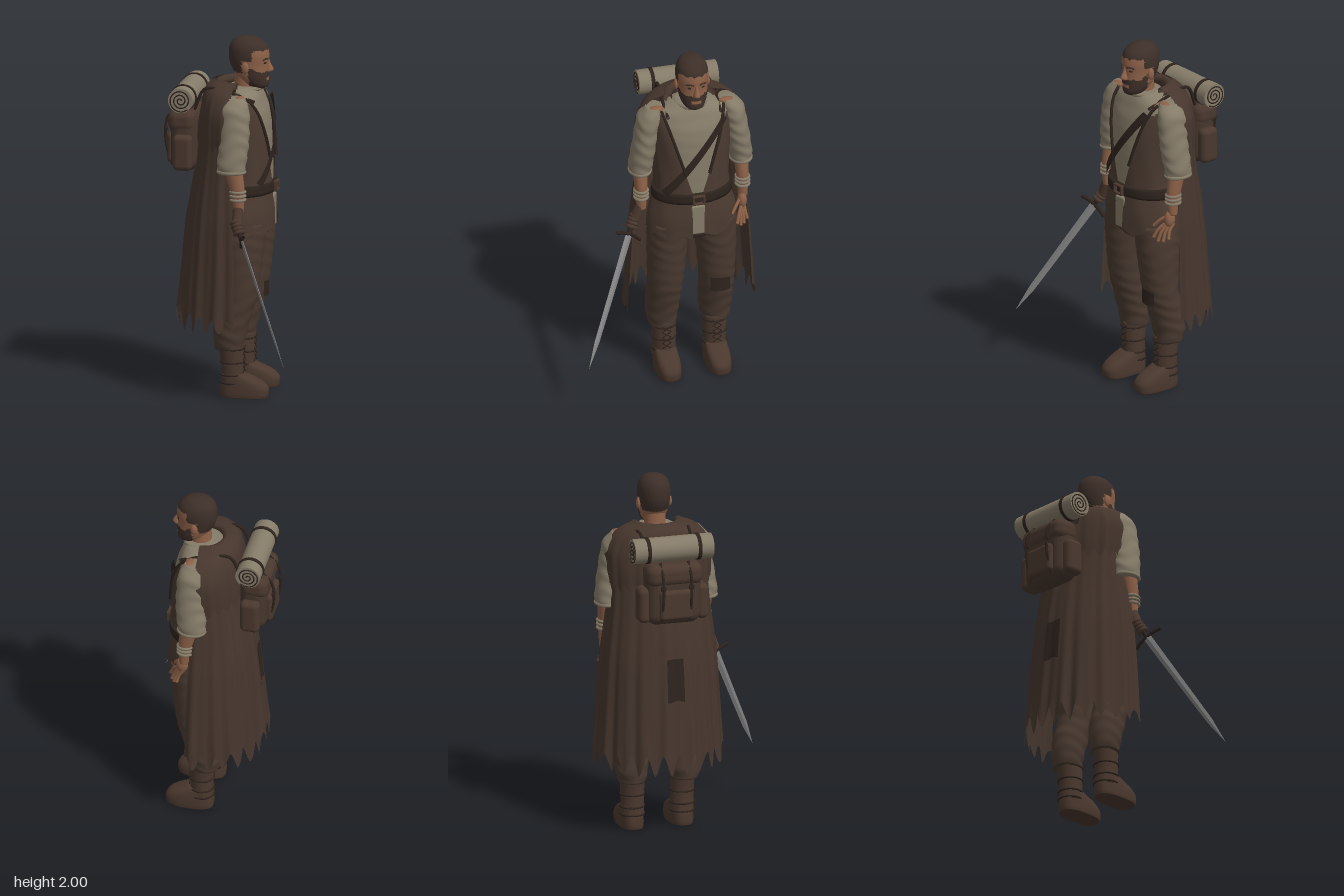
import * as THREE from 'three';
import { RoundedBoxGeometry } from 'three/addons/geometries/RoundedBoxGeometry.js';

const mat = (name, color, extra = {}) => Object.assign(new THREE.MeshStandardMaterial({ color, ...extra }), { name });
const V = (x, y, z) => new THREE.Vector3(x, y, z);
const { sin, cos, abs, sign, sqrt, asin, max, PI } = Math;

export function createModel() {
  const cloth = mat('cloak brown', 0x46362d, { side: THREE.DoubleSide });
  const vestMat = mat('vest brown', 0x4a3a30, { side: THREE.DoubleSide });
  const pants = mat('trouser brown', 0x4a3a30);
  const boot = mat('boot leather', 0x4a382e);
  const dark = mat('dark leather', 0x2e231d, { side: THREE.DoubleSide });
  const linen = mat('linen', 0x857b68, { side: THREE.DoubleSide });
  const skin = mat('skin', 0x8d6148);
  const hair = mat('hair', 0x3d2f28);
  const steel = mat('steel', 0x858585, { flatShading: true });

  const body = new THREE.Group();
  const add = (name, geo, m, parent = body) => {
    const mesh = new THREE.Mesh(geo, m);
    mesh.name = name;
    parent.add(mesh);
    return mesh;
  };

  // Smooth cross-section between sections [cx, y, cz, rx, rz]
  const sampler = (sections) => {
    const s = sections[0][1] > sections.at(-1)[1] ? [...sections].reverse() : sections;
    const c = new THREE.CatmullRomCurve3(s.map(p => V(p[0], p[1], p[2])), false, 'catmullrom');
    const r = new THREE.CatmullRomCurve3(s.map(p => V(p[3], p[4], 0)), false, 'catmullrom');
    return t => ({ c: c.getPoint(t), r: r.getPoint(t) });
  };
  // Closed, capped loft of elliptical rings; pick(x, y, z) chooses a material per face
  const loft = (sections, { n = 28, rows = 24, e = 1, wrinkle = 0, pick = null } = {}) => {
    const at = sampler(sections), pos = [], faces = [[], [], []];
    for (let k = 0; k <= rows; k++) {
      const { c, r } = at(k / rows);
      for (let j = 0; j < n; j++) {
        const a = j / n * 2 * PI, s = sin(a), q = cos(a);
        const w = 1 + wrinkle * sin(c.y * 75 + 2 * sin(a * 2 + c.y * 9));
        pos.push(c.x + r.x * w * sign(s) * abs(s) ** e, c.y, c.z + r.y * w * sign(q) * abs(q) ** e);
      }
    }
    const b = at(0).c, t = at(1).c, base = (rows + 1) * n;
    pos.push(b.x, b.y, b.z, t.x, t.y, t.z);
    const tri = (...f) => {
      const m = [0, 1, 2].map(d => f.reduce((sum, i) => sum + pos[i * 3 + d] / 3, 0));
      faces[pick ? pick(...m) : 0].push(...f);
    };
    for (let j = 0; j < n; j++) {
      const j1 = (j + 1) % n;
      for (let k = 0; k < rows; k++) {
        const a = k * n + j, c = k * n + j1;
        tri(a, c, a + n); tri(c, c + n, a + n);
      }
      tri(base, j1, j); tri(base + 1, rows * n + j, rows * n + j1);
    }
    const g = new THREE.BufferGeometry();
    g.setAttribute('position', new THREE.Float32BufferAttribute(pos, 3));
    g.setIndex(faces.flat());
    if (pick) faces.reduce((start, f, i) => (g.addGroup(start, f.length, i), start + f.length), 0);
    g.computeVertexNormals();
    return g;
  };
  // Open sheet from a rule f(u, v) -> [x, y, z]
  const sheet = (nu, nv, f) => {
    const g = new THREE.PlaneGeometry(1, 1, nu, nv), p = g.attributes.position, uv = g.attributes.uv;
    for (let i = 0; i < p.count; i++) p.setXYZ(i, ...f(uv.getX(i), uv.getY(i)));
    g.computeVertexNormals();
    return g;
  };
  const bar = (a, b, r1, r2, seg = 10) => {
    const d = b.clone().sub(a), g = new THREE.CylinderGeometry(r2, r1, d.length(), seg);
    g.applyQuaternion(new THREE.Quaternion().setFromUnitVectors(V(0, 1, 0), d.clone().normalize()));
    return g.translate(...a.clone().add(b).multiplyScalar(0.5).toArray());
  };
  const ball = (x, y, z, rx, ry, rz) => new THREE.SphereGeometry(1, 18, 12).scale(rx, ry, rz).translate(x, y, z);
  const box = (x, y, z, w, h, d, r = 0.03) => new RoundedBoxGeometry(w, h, d, 3, r).translate(x, y, z);
  const tube = (pts, r) => new THREE.TubeGeometry(new THREE.CatmullRomCurve3(pts), pts.length * 5, r, 6);
  const hoop = (x, y, z, rx, rz, t) => new THREE.TorusGeometry(1, t / rx, 8, 28).rotateX(PI / 2).scale(rx, rx, rz).translate(x, y, z);

  // Head: hair, beard and skin as face groups
  const coat = (x, y, z) => {
    const ragged = 0.005 * sin(x * 160) + 0.004 * sin(y * 190);
    if (y > 1.925 + ragged || (y > 1.8 && z < 0.035 + ragged) || (y > 1.87 && z < 0.095 + ragged)) return 1;
    const lips = abs(x) < 0.027 && abs(y - 1.765) < 0.008;
    return z > 0.07 + ragged && y < 1.81 + max(0, 0.12 - z) * 0.5 + ragged && !lips ? 1 : 0;
  };
  add('head', loft([[0, 1.708, 0.12, 0.02, 0.025], [0, 1.725, 0.105, 0.055, 0.06], [0, 1.77, 0.08, 0.076, 0.087],
    [0, 1.84, 0.06, 0.085, 0.106], [0, 1.9, 0.057, 0.09, 0.112], [0, 1.95, 0.055, 0.082, 0.102],
    [0, 1.985, 0.05, 0.055, 0.068], [0, 2, 0.05, 0.012, 0.015]], { n: 64, rows: 64, pick: coat }), [skin, hair, hair]);
  add('neck', loft([[0, 1.62, 0.03, 0.085, 0.08], [0, 1.7, 0.035, 0.062, 0.062], [0, 1.8, 0.045, 0.06, 0.065]]), skin);
  add('nose', loft([[0, 1.805, 0.165, 0.021, 0.022], [0, 1.818, 0.169, 0.019, 0.027], [0, 1.85, 0.163, 0.01, 0.016],
    [0, 1.885, 0.157, 0.008, 0.01]], { n: 14, rows: 10 }), skin);
  for (const s of [-1, 1]) {
    add('ear', ball(s * 0.09, 1.835, 0.055, 0.012, 0.032, 0.02), skin);
    add('eye', ball(s * 0.034, 1.858, 0.15, 0.014, 0.007, 0.012), dark);
    add('eyebrow', tube([V(s * 0.015, 1.876, 0.167), V(s * 0.035, 1.882, 0.161), V(s * 0.056, 1.874, 0.144)], 0.005), hair);
  }

  // Shirt and trousers
  const torso = [[0, 1.0, 0.045, 0.215, 0.14], [0, 1.2, 0.045, 0.2, 0.14], [0, 1.4, 0.035, 0.2, 0.146],
    [0, 1.55, 0.03, 0.21, 0.14], [0, 1.65, 0.025, 0.21, 0.115], [0, 1.7, 0.025, 0.14, 0.095], [0, 1.725, 0.03, 0.08, 0.075]];
  add('shirt', loft(torso, { n: 40, rows: 40, e: 0.9, wrinkle: 0.006 }), linen);
  add('shirtCollar', hoop(0, 1.71, 0.035, 0.085, 0.085, 0.014), linen);
  add('hips', loft([[0, 0.88, 0.045, 0.12, 0.1], [0, 0.95, 0.045, 0.225, 0.14], [0, 1.15, 0.045, 0.21, 0.14]]), pants);
  add('shirtTail', box(0, 1.03, 0.19, 0.08, 0.18, 0.03, 0.01), linen);

  // Open vest with a ragged skirt
  const vestAt = sampler([[0, 0.93, 0.045, 0.255, 0.168], [0, 1.04, 0.045, 0.245, 0.165], [0, 1.17, 0.045, 0.215, 0.15],
    [0, 1.32, 0.04, 0.212, 0.153], [0, 1.5, 0.03, 0.222, 0.155], [0, 1.62, 0.025, 0.222, 0.135], [0, 1.69, 0.02, 0.19, 0.1]]);
  const gapAt = y => y > 1.2 ? 0.03 + (y - 1.2) * 0.3 : 0.033;
  const vestPoint = (u, v) => {
    const { c, r } = vestAt(v), a0 = asin(gapAt(c.y) / r.x), a = a0 + u * (2 * PI - 2 * a0);
    const drop = v < 0.05 ? 0.012 * sin(a * 11) : 0, fold = 1 + 0.008 * sin(a * 9 + c.y * 14);
    return [r.x * fold * sin(a), c.y + drop, c.z + r.y * fold * cos(a)];
  };
  add('vest', sheet(80, 40, vestPoint), vestMat);
  for (const u of [0, 1]) {
    const edge = [0.5, 0.6, 0.7, 0.8, 0.9, 0.98].map(v => V(...vestPoint(u, v)).add(V(0, 0, 0.008)));
    add('lapel', tube(edge, 0.009), dark);
  }
  add('belt', loft([[0, 1.135, 0.045, 0.226, 0.16], [0, 1.165, 0.045, 0.226, 0.161], [0, 1.195, 0.045, 0.222, 0.16]], { n: 48, rows: 4 }), dark);
  for (const s of [-1, 1]) {
    add('buckle', box(s * 0.03, 1.165, 0.212, 0.012, 0.056, 0.022, 0.004), boot);
    add('buckle', box(0, 1.165 + s * 0.023, 0.212, 0.07, 0.011, 0.022, 0.004), boot);
  }
  add('chestStrap', sheet(2, 24, (u, v) => {
    const x = 0.165 - 0.345 * v + (u - 0.5) * 0.03, y = 1.64 - 0.44 * v + (u - 0.5) * -0.03;
    return [x, y, 0.045 - 0.02 * (1 - v) + 0.158 * sqrt(max(0, 1 - (x / 0.235) ** 2)) + 0.008];
  }), dark);

  // Legs, boots, arms
  for (const s of [-1, 1]) {
    const mir = a => a.map(([x, ...rest]) => [s * x, ...rest]);
    add('trouserLeg', loft(mir([[0.15, 0.27, -0.02, 0.075, 0.08], [0.15, 0.34, -0.02, 0.09, 0.09], [0.148, 0.45, 0.0, 0.096, 0.1],
      [0.145, 0.58, 0.035, 0.1, 0.1], [0.138, 0.8, 0.045, 0.112, 0.12], [0.125, 0.98, 0.045, 0.12, 0.135]]), { rows: 44, wrinkle: 0.022 }), pants);
    add('bootShaft', loft(mir([[0.142, 0.07, -0.005, 0.064, 0.064], [0.142, 0.18, -0.003, 0.065, 0.065], [0.145, 0.3, -0.01, 0.07, 0.072]])), boot);
    add('bootFoot', loft(mir([[0.142, 0, 0.062, 0.066, 0.13], [0.142, 0.02, 0.063, 0.069, 0.134], [0.142, 0.055, 0.062, 0.069, 0.133],
      [0.142, 0.09, 0.045, 0.066, 0.113], [0.142, 0.13, 0.0, 0.06, 0.065]]), { e: 0.75 }), boot);
    for (const y of [0.08, 0.125, 0.195, 0.27]) add('bootStrap', hoop(s * 0.143, y, -0.004, 0.067, 0.067, 0.005), dark);
    for (let i = 0; i < 4; i++) for (const d of [-1, 1]) {
      const y = 0.14 + i * 0.035;
      add('bootLace', bar(V(s * 0.143 - d * 0.025, y, 0.061), V(s * 0.143 + d * 0.025, y + 0.035, 0.063), 0.003, 0.003, 6), dark);
    }
    add('sleeve', loft(mir([[0.285, 1.285, 0.02, 0.058, 0.072], [0.282, 1.33, 0.02, 0.066, 0.08], [0.265, 1.45, 0.03, 0.067, 0.083],
      [0.25, 1.55, 0.03, 0.066, 0.083], [0.232, 1.64, 0.025, 0.066, 0.082], [0.205, 1.695, 0.02, 0.045, 0.055]]), { rows: 44, wrinkle: 0.03 }), linen);
    add('cuff', hoop(s * 0.285, 1.295, 0.02, 0.056, 0.07, 0.011), linen);
    add('tornShoulder', ball(s * 0.2, 1.688, 0.05, 0.042, 0.014, 0.026), skin);
    add('forearm', loft(mir([[0.287, 1.07, 0.062, 0.027, 0.026], [0.287, 1.12, 0.06, 0.029, 0.032], [0.287, 1.2, 0.052, 0.035, 0.042],
      [0.285, 1.31, 0.03, 0.043, 0.05]])), skin);
    for (const y of [1.14, 1.162, 1.184]) add('bracelet', hoop(s * 0.287, y, 0.056, 0.036, 0.04, 0.008), linen);
  }
  add('kneePatch', sheet(6, 4, (u, v) => {
    const a = (u - 0.5) * 1.1;
    return [0.145 + 0.104 * sin(a), 0.51 + 0.09 * v, 0.03 + 0.106 * cos(a)];
  }), dark);

  // Open left hand
  add('leftPalm', ball(0.28, 1.045, 0.075, 0.026, 0.05, 0.033), skin);
  [[0.235, 0.945, 0.15], [0.258, 0.925, 0.138], [0.28, 0.925, 0.12], [0.302, 0.94, 0.1], [0.212, 1.0, 0.13]].forEach((tip, i) => {
    const root = i < 4 ? V(0.268 + i * 0.009, 1.02, 0.1 - i * 0.014) : V(0.272, 1.065, 0.075);
    add(i < 4 ? 'finger' : 'thumb', tube([root, root.clone().lerp(V(...tip), 0.5).add(V(-0.004, 0, 0.008)), V(...tip)], 0.0095), skin);
    add('fingertip', ball(...tip, 0.0095, 0.0095, 0.0095), skin);
  });

  // Sword, with the wrapped right hand around its grip
  const sword = new THREE.Group();
  sword.name = 'sword';
  const hilt = V(-0.365, 0.93, 0.095), up = hilt.clone().sub(V(-0.67, 0.29, 0.4));
  const len = up.length();
  up.normalize();
  const across = V(-0.155, 0.08, 0.05).addScaledVector(up, -up.dot(V(-0.155, 0.08, 0.05))).normalize();
  sword.matrixAutoUpdate = false;
  sword.matrix.makeBasis(across, up, across.clone().cross(up)).setPosition(hilt);
  body.add(sword);
  add('blade', new THREE.CylinderGeometry(0.023, 0.017, len * 0.8, 4).scale(1, 1, 0.32).translate(0, -len * 0.4, 0), steel, sword);
  add('bladeTip', new THREE.CylinderGeometry(0.017, 0.0005, len * 0.2, 4).scale(1, 1, 0.32).translate(0, -len * 0.9, 0), steel, sword);
  add('guard', tube([V(-0.088, -0.012, 0), V(-0.04, 0, 0), V(0.04, 0, 0), V(0.088, -0.012, 0)], 0.01), dark, sword);
  add('grip', new THREE.CylinderGeometry(0.012, 0.013, 0.17, 12).translate(0, 0.085, 0), dark, sword);
  add('pommel', ball(0, 0.175, 0, 0.018, 0.014, 0.018), dark, sword);
  for (let i = 0; i < 4; i++) add('gripFinger', hoop(0, 0.045 + i * 0.021, 0, 0.022, 0.022, 0.012), boot, sword);
  add('rightHand', bar(V(-0.288, 1.1, 0.062), V(-0.322, 1.01, 0.06), 0.026, 0.032), boot);

  // Long tattered cloak and its shoulder cape
  const drape = (sections, spread, foldSize, tear) => {
    const at = sampler(sections);
    return (u, v) => {
      const { c, r } = at(v), a = PI + (u - 0.5) * 2 * spread, down = 1 - v;
      const f = 1 + foldSize * down * (sin(a * 17) + 0.5 * sin(a * 29 + 1));
      const rag = tear * (abs(((u * 13.3 + 9) % 1) - 0.5) * 2 - 0.5 + 0.5 * sin(u * 87));
      return [r.x * f * sin(a), c.y + rag * down ** 8, c.z + r.y * f * cos(a)];
    };
  };
  const cloakRule = drape([[0, 0.43, 0, 0.36, 0.335], [0, 0.7, 0, 0.345, 0.31], [0, 1.0, -0.005, 0.325, 0.275],
    [0, 1.25, -0.01, 0.295, 0.23], [0, 1.5, -0.01, 0.27, 0.185], [0, 1.66, 0, 0.22, 0.15]], 1.72, 0.022, 0.06);
  add('cloak', sheet(160, 40, cloakRule), cloth);
  add('cloakPatch', sheet(10, 8, (u, v) => {
    const [x, y, z] = cloakRule(0.475 + u * 0.085, 0.26 + v * 0.16);
    return [x * 1.02, y, z - 0.006];
  }), dark);
  add('shoulderCape', sheet(90, 30, drape([[0, 1.41, -0.005, 0.295, 0.215], [0, 1.5, -0.005, 0.3, 0.212], [0, 1.6, -0.005, 0.297, 0.198],
    [0, 1.68, 0, 0.26, 0.19], [0, 1.725, 0, 0.205, 0.17], [0, 1.752, 0.01, 0.13, 0.14]], 1.62, 0.012, 0.025)), cloth);
  add('hoodRoll', new THREE.TorusGeometry(0.125, 0.026, 10, 32, PI).rotateX(-PI / 2).translate(0, 1.73, 0.015), cloth);

  // Backpack
  add('backpack', box(0, 1.415, -0.285, 0.31, 0.34, 0.15, 0.06), cloth);
  add('backpackFlap', box(0, 1.53, -0.295, 0.32, 0.13, 0.155, 0.05), boot);
  add('backpackPocket', box(0, 1.365, -0.362, 0.19, 0.17, 0.05, 0.024), boot);
  for (const s of [-1, 1]) {
    add('sidePocket', box(s * 0.165, 1.36, -0.28, 0.07, 0.2, 0.11, 0.03), boot);
    add('packStrap', tube([V(s * 0.08, 1.6, -0.33), V(s * 0.08, 1.53, -0.385), V(s * 0.08, 1.4, -0.392), V(s * 0.08, 1.27, -0.355)], 0.008), dark);
    add('packBuckle', box(s * 0.08, 1.47, -0.391, 0.03, 0.025, 0.016, 0.005), dark);
    add('shoulderStrap', tube([V(s * 0.13, 1.6, -0.22), V(s * 0.14, 1.72, -0.16), V(s * 0.15, 1.715, -0.05), V(s * 0.15, 1.66, 0.12)], 0.009), dark);
  }

  // Bedroll with straps and spiral ends
  add('bedroll', new THREE.CylinderGeometry(0.069, 0.069, 0.45, 32).rotateZ(PI / 2).translate(0, 1.665, -0.28), linen);
  for (const s of [-1, 1]) {
    add('bedrollStrap', new THREE.CylinderGeometry(0.074, 0.074, 0.02, 32).rotateZ(PI / 2).translate(s * 0.145, 1.665, -0.28), dark);
    const spiral = Array.from({ length: 30 }, (_, i) => {
      const a = i * 0.62, r = 0.006 + i * 0.002;
      return V(s * 0.225, 1.665 + r * sin(a), -0.28 + r * cos(a));
    });
    add('bedrollSpiral', tube(spiral, 0.004), dark);
  }

  // Turn the figure to face along +x
  body.name = 'wanderer';
  body.rotation.y = PI / 2;
  body.position.z = -0.15;
  const model = new THREE.Group();
  model.add(body);
  return model;
}
